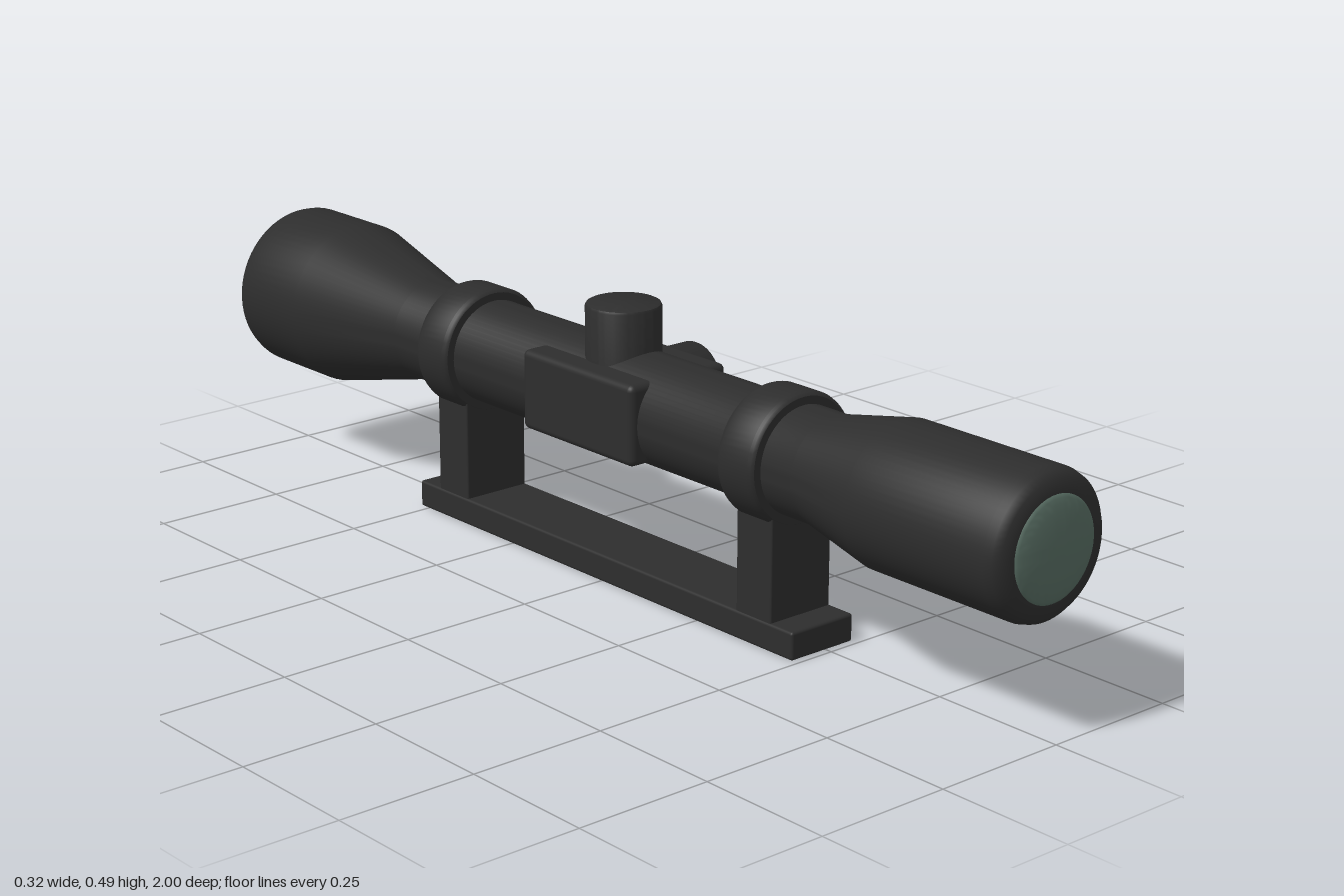
import * as THREE from 'three';
import { RoundedBoxGeometry } from 'three/addons/geometries/RoundedBoxGeometry.js';
import { toCreasedNormals } from 'three/addons/utils/BufferGeometryUtils.js';

const AXIS_X = -0.01, AXIS_Y = 0.321;

export function createModel() {
  const model = new THREE.Group();
  const black = new THREE.MeshStandardMaterial({ color: 0x2d2d2d });
  black.name = 'matte black';
  const glass = new THREE.MeshStandardMaterial({ color: 0x556a60 });
  glass.name = 'green glass';

  const add = (name, geometry, material, x, y, z) => {
    const mesh = new THREE.Mesh(geometry, material);
    mesh.name = name;
    mesh.position.set(x, y, z);
    model.add(mesh);
    return mesh;
  };
  // Lathe from [radius, height] pairs, listed from bottom to top
  const lathe = (points, crease = 0.6) => toCreasedNormals(
    new THREE.LatheGeometry(points.map(([r, h]) => new THREE.Vector2(r, h)), 64), crease);
  // Turned part lying along z, with profile heights becoming z
  const turned = (name, points, material, z = 0, crease = 0.6) => {
    const mesh = add(name, lathe(points, crease), material, AXIS_X, AXIS_Y, z);
    mesh.rotation.x = Math.PI / 2;
    return mesh;
  };

  // Tube with flared objective at the back and eyepiece at the front
  turned('scopeBody', [
    [0, -0.985], [0.13, -0.988], [0.142, -0.985], [0.15, -0.976], [0.153, -0.965],
    [0.153, -0.80], [0.095, -0.56], [0.095, 0.505], [0.127, 0.66],
    [0.127, 0.958], [0.123, 0.973], [0.112, 0.984], [0.09, 0.988], [0, 0.985],
  ], black, 0, 0.75);

  // Shallow domed lenses
  const dome = (radius, base, tip) => Array.from({ length: 9 }, (_, i) => {
    const a = (i / 8) * Math.PI / 2;
    return [radius * Math.cos(a), base + (tip - base) * Math.sin(a)];
  });
  turned('eyepieceLens', dome(0.09, 0.986, 1), glass, 0, 1.2);
  turned('objectiveLens', dome(0.13, -0.986, -1).reverse(), glass, 0, 1.2);

  // Mounting rings and posts
  for (const [side, z] of [['front', 0.392], ['rear', -0.422]]) {
    turned(side + 'Ring', [
      [0.09, -0.043], [0.109, -0.043], [0.114, -0.039], [0.116, -0.033],
      [0.116, 0.033], [0.114, 0.039], [0.109, 0.043], [0.09, 0.043],
    ], black, z);
    add(side + 'Post', new RoundedBoxGeometry(0.134, 0.23, 0.085, 2, 0.003), black, AXIS_X, 0.145, z);
  }

  // Base rail
  add('baseRail', new RoundedBoxGeometry(0.139, 0.05, 1.01, 2, 0.005), black, AXIS_X, 0.025, -0.016);

  // Turret housing, passing through the tube
  add('turretHousing', new RoundedBoxGeometry(0.216, 0.145, 0.295, 3, 0.012), black, AXIS_X, 0.322, -0.019);

  // Adjustment knobs on the top and the left side
  const knob = [[0.067, 0], [0.067, 0.166], [0.065, 0.17], [0.061, 0.172], [0, 0.172]];
  add('topKnob', lathe(knob), black, AXIS_X, AXIS_Y, -0.018);
  add('sideKnob', lathe(knob), black, AXIS_X, AXIS_Y, -0.018).rotation.z = -Math.PI / 2;

  return model;
}
